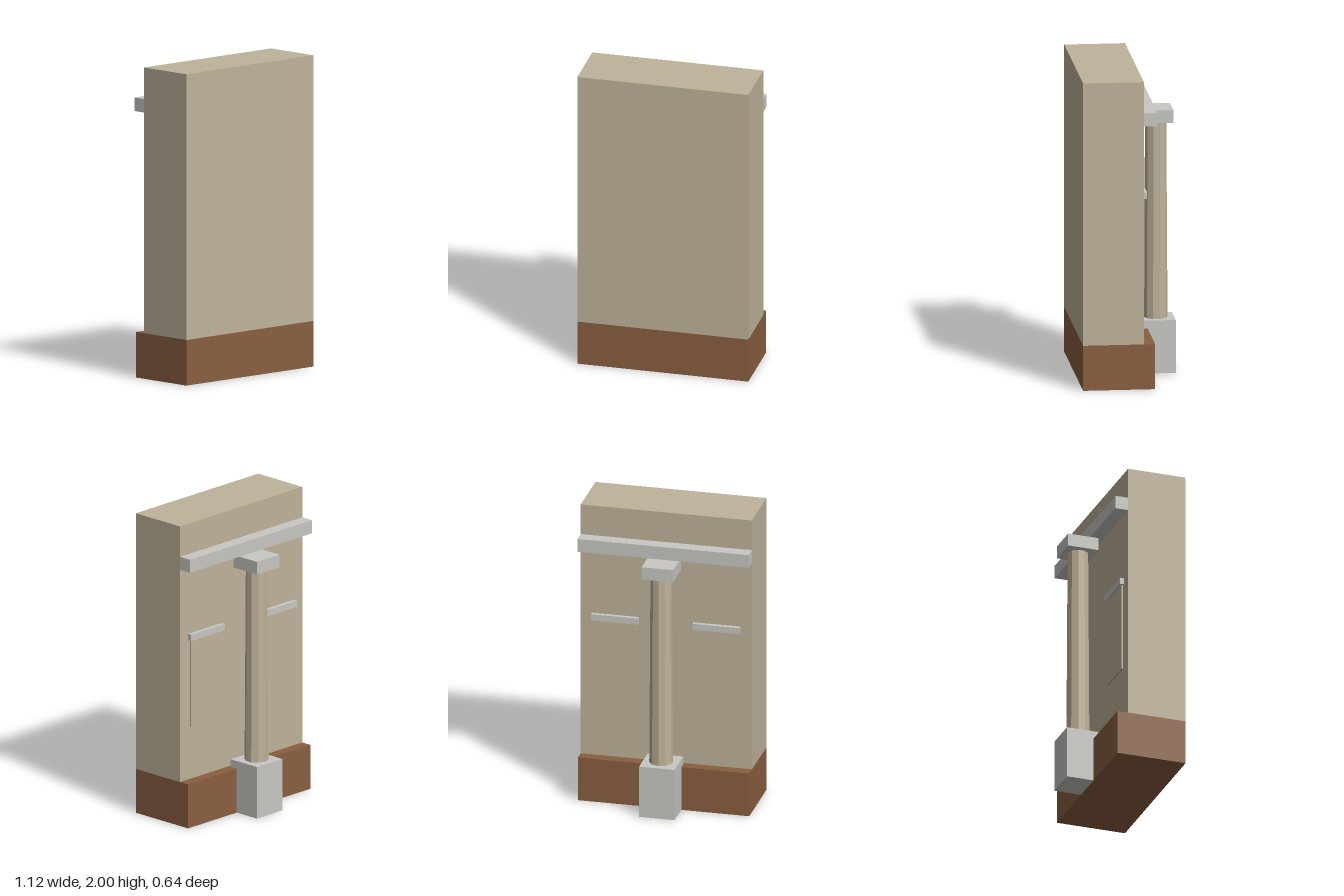
import * as THREE from 'three';

const material = (name, color) => {
  const m = new THREE.MeshStandardMaterial({ color });
  m.name = name;
  return m;
};

export function createModel() {
  const model = new THREE.Group();
  model.name = 'wallSection';

  const plaster = material('tan plaster', 0xbfb39b);
  const brick = material('brown plinth', 0x8a5f40);
  const stone = material('pale grey stone', 0xc8c7c3);

  // Box given by its centre x, width, and y and z ranges
  const box = (name, mat, x, width, [y0, y1], [z0, z1]) => {
    const mesh = new THREE.Mesh(new THREE.BoxGeometry(width, y1 - y0, z1 - z0), mat);
    mesh.name = name;
    mesh.position.set(x, (y0 + y1) / 2, (z0 + z1) / 2);
    model.add(mesh);
    return mesh;
  };

  const width = 1.12;
  const front = 0.32;
  const wallBack = -0.068;
  const columnZ = -0.203;

  // Wall on a deeper plinth, with a cornice along the back
  box('plinth', brick, 0, width, [0, 0.293], [-0.14, front]);
  box('wall', plaster, 0, width, [0.293, 2], [wallBack, front]);
  box('cornice', stone, 0, width, [1.71, 1.797], [-0.155, wallBack]);

  // Blind window panels, each with a lintel
  for (const side of [-1, 1]) {
    const x = side * 0.332;
    box('windowPanel', plaster, x, 0.274, [0.64, 1.223], [-0.08, wallBack]);
    box('windowLintel', stone, x, 0.308, [1.223, 1.265], [-0.096, wallBack]);
  }

  // Column: pedestal, tapered ten-sided shaft and capital
  box('pedestal', stone, 0, 0.232, [0.001, 0.345], [columnZ - 0.116, columnZ + 0.116]);
  const shaftMaterial = plaster.clone();
  shaftMaterial.flatShading = true;
  const shaft = new THREE.Mesh(new THREE.CylinderGeometry(0.068, 0.076, 1.28, 10), shaftMaterial);
  shaft.name = 'columnShaft';
  shaft.position.set(0, 0.985, columnZ);
  model.add(shaft);
  box('capital', stone, 0, 0.206, [1.625, 1.709], [columnZ - 0.103, columnZ + 0.103]);

  return model;
}
